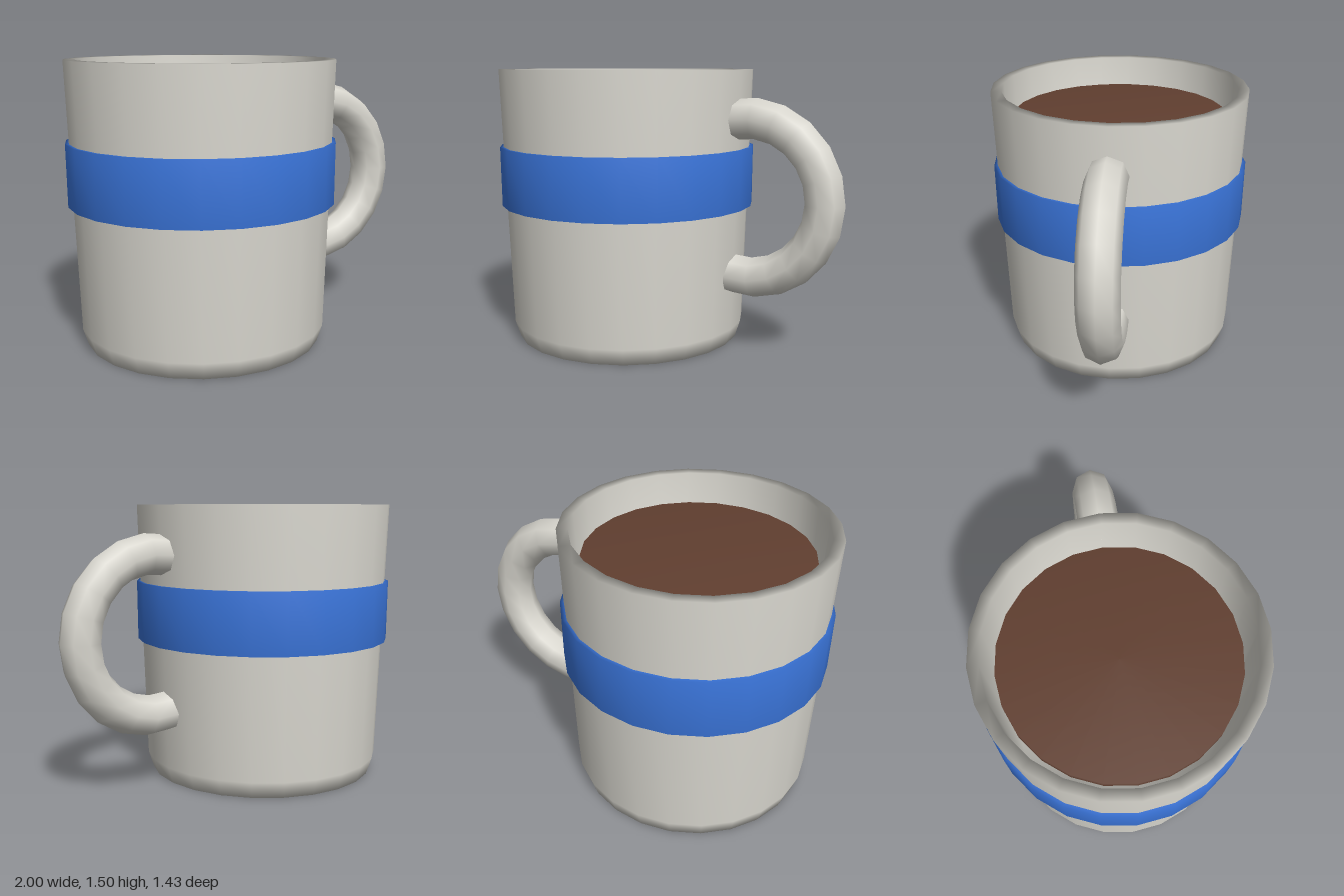
import * as THREE from 'three';

const SIDES = 24;
const CUP_X = -0.287;

// Smooth surface of revolution around the cup axis
function turned(name, profile, material) {
  const points = profile.map(([r, y]) => new THREE.Vector2(r, y));
  const mesh = new THREE.Mesh(new THREE.LatheGeometry(points, SIDES), material);
  mesh.name = name;
  mesh.position.x = CUP_X;
  return mesh;
}

export function createModel() {
  const ceramic = new THREE.MeshStandardMaterial({ name: 'ceramic', color: 0xd9d7cf });
  const blue = new THREE.MeshStandardMaterial({ name: 'blue glaze', color: 0x3b76dc });
  const coffee = new THREE.MeshStandardMaterial({ name: 'coffee', color: 0x613f30 });

  const mug = new THREE.Group();
  mug.name = 'mug';

  // Cup wall: base, chamfer, tapered outside, flat rim, inside and floor
  mug.add(turned('cup', [
    [0, 0], [0.633, 0], [0.662, 0.09], [0.708, 1.505],
    [0.65, 1.505], [0.605, 0.1], [0, 0.1],
  ], ceramic));

  // Raised band around the middle
  mug.add(turned('band', [
    [0.67, 0.757], [0.711, 0.757], [0.714, 1.083], [0.68, 1.083],
  ], blue));

  // Drink filling the cup
  mug.add(turned('drink', [[0.6, 1.29], [0.6, 1.35], [0, 1.35]], coffee));

  // Handle: part of a ring whose ends sink into the wall
  const arc = THREE.MathUtils.degToRad(204);
  const handle = new THREE.Mesh(new THREE.TorusGeometry(0.425, 0.1075, 8, 12, arc), ceramic);
  handle.name = 'handle';
  handle.rotation.z = -arc / 2;
  handle.position.set(0.4675, 0.83, 0);
  mug.add(handle);

  return mug;
}
